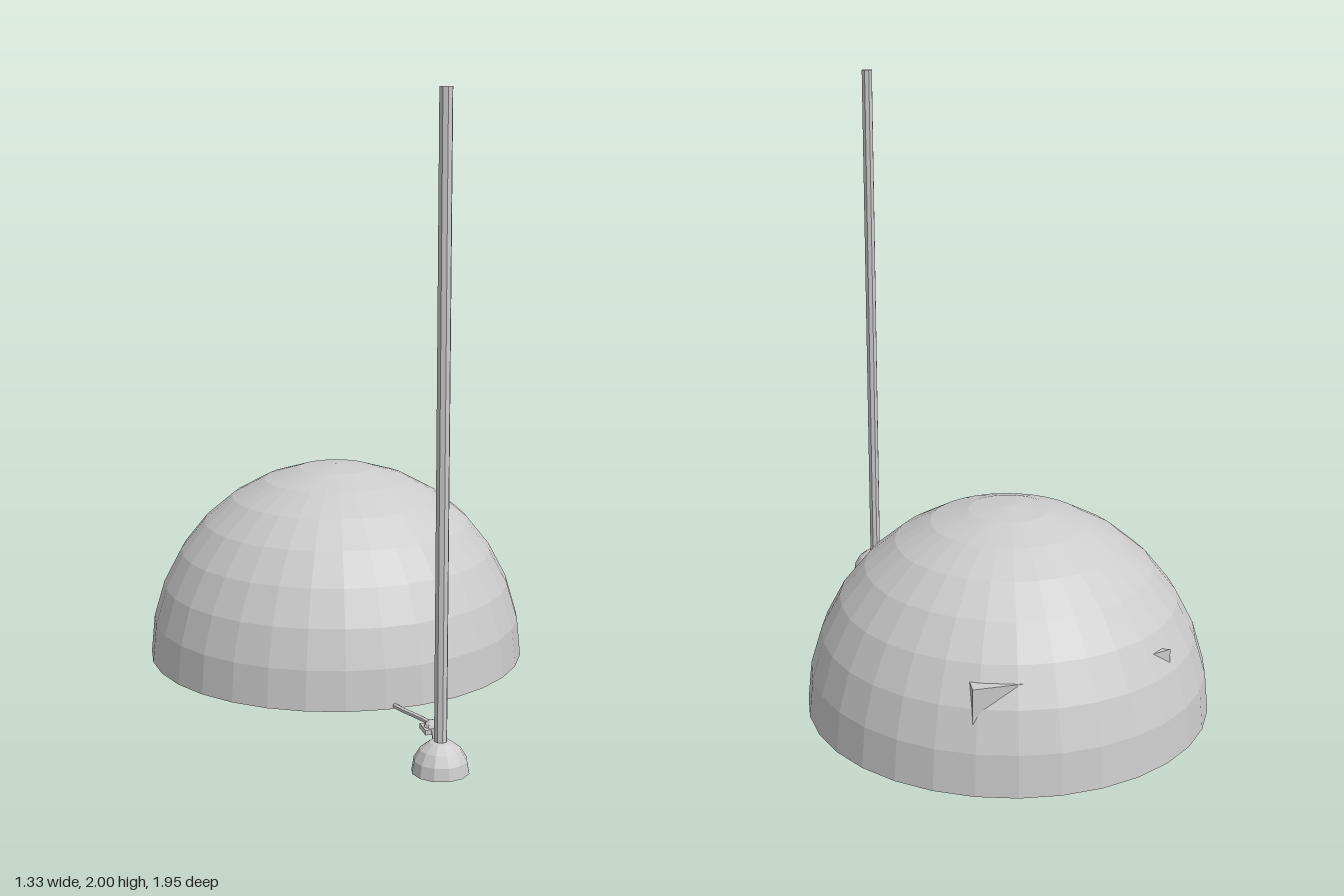
import * as THREE from 'three';

const material = new THREE.MeshStandardMaterial({ color: 0xcccccc, flatShading: true, side: THREE.DoubleSide });

function add(parent, name, geometry, x = 0, y = 0, z = 0) {
  const mesh = new THREE.Mesh(geometry, material);
  mesh.name = name;
  mesh.position.set(x, y, z);
  parent.add(mesh);
  return mesh;
}

// Closed faceted half sphere: rings from the rim to the pole, plus a flat bottom
function domeGeometry(radius, height, sides, rings) {
  const profile = [new THREE.Vector2(0, 0)];
  for (let i = 0; i <= rings; i++) {
    const a = (i / rings) * Math.PI / 2;
    profile.push(new THREE.Vector2(i === rings ? 0 : radius * Math.cos(a), height * Math.sin(a)));
  }
  return new THREE.LatheGeometry(profile, sides);
}

// Thin cable lying on the ground through the given [x, z] points
function cableGeometry(points) {
  const curve = new THREE.CatmullRomCurve3(points.map(([x, z]) => new THREE.Vector3(x, 0.029, z)));
  return new THREE.TubeGeometry(curve, 6, 0.009, 6);
}

export function createModel() {
  const model = new THREE.Group();
  model.name = 'domeWithMast';
  const base = 0.02;

  // Large dome
  add(model, 'dome', domeGeometry(0.667, 0.683, 32, 8), 0, base, -0.305);

  // Block inside the dome whose rear corners poke through the shell
  const outline = [[0.36, -0.82], [0.07, -0.87], [-0.315, -0.818], [-0.2, -0.74], [0.33, -0.7]];
  const shape = new THREE.Shape(outline.map(([x, z]) => new THREE.Vector2(x, -z)));
  const block = new THREE.ExtrudeGeometry(shape, { depth: 0.332, bevelEnabled: false });
  block.rotateX(-Math.PI / 2);
  add(model, 'innerBlock', block, 0, 0.018, 0);

  // Mast standing in its domed foot
  const mast = new THREE.Group();
  mast.name = 'mast';
  mast.position.set(0.017, 0, 0.888);
  add(mast, 'pole', new THREE.CylinderGeometry(0.02, 0.02, 2, 8), 0, 1, 0);
  add(mast, 'mastFoot', domeGeometry(0.087, 0.097, 12, 4), 0, base, 0);
  model.add(mast);

  // Junction box with a round cap
  const junction = new THREE.Group();
  junction.name = 'junction';
  junction.position.set(0.09, base, 0.577);
  add(junction, 'junctionPlate', new THREE.BoxGeometry(0.064, 0.016, 0.064), 0, 0.008, 0);
  add(junction, 'junctionCap', domeGeometry(0.031, 0.037, 8, 4));
  model.add(junction);

  // Cables from dome to junction and from junction to mast
  add(model, 'domeCable', cableGeometry([[0.025, 0.32], [0.038, 0.38], [0.07, 0.46], [0.095, 0.53], [0.09, 0.577]]));
  add(model, 'mastCable', cableGeometry([[0.09, 0.577], [0.083, 0.62], [0.057, 0.71], [0.025, 0.8], [0.017, 0.84]]));

  return model;
}
